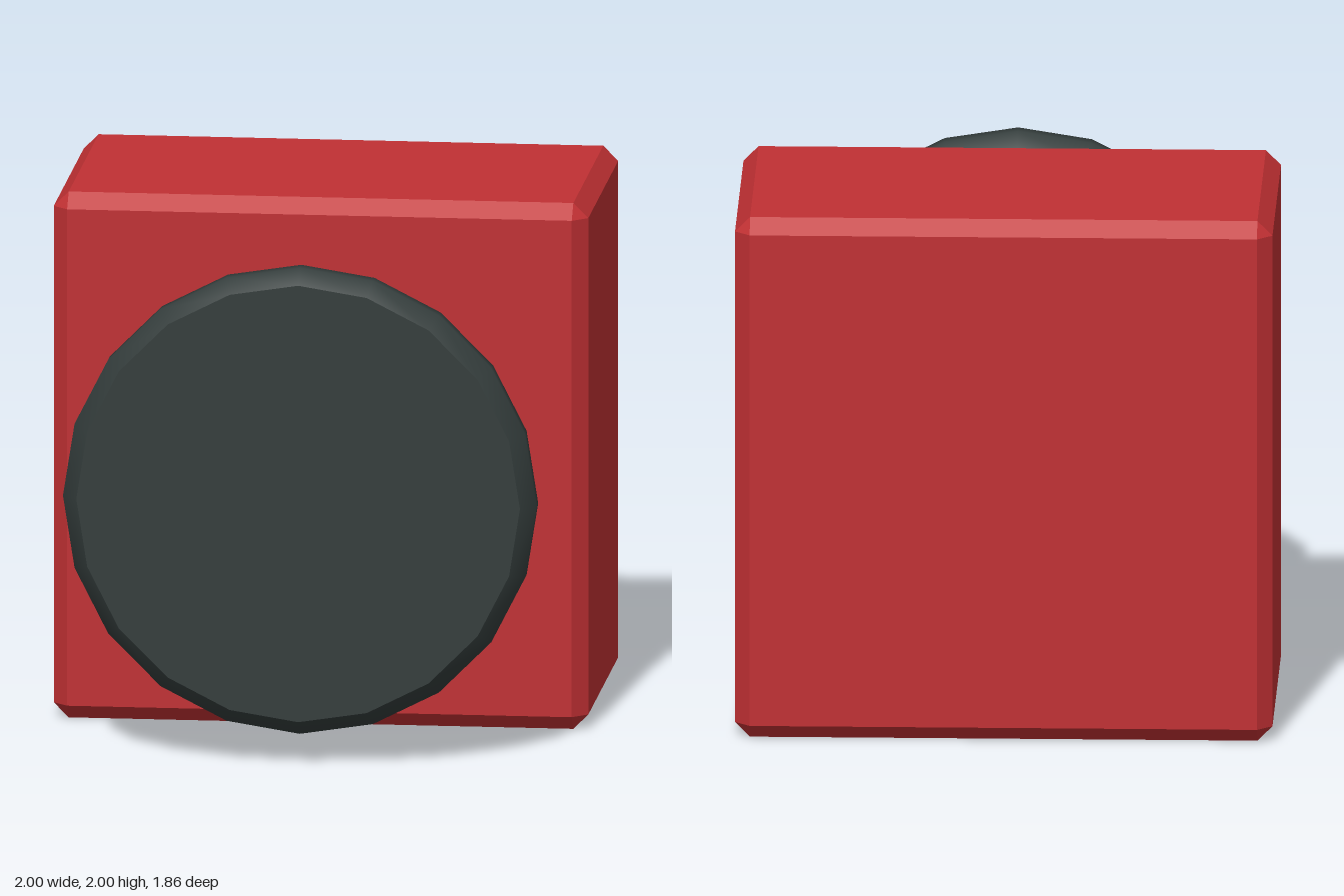
import * as THREE from 'three';
import { ConvexGeometry } from 'three/addons/geometries/ConvexGeometry.js';

const SIDES = 20;

// Box with flat chamfers on all edges and triangular corners
function chamferedBox(w, h, d, c) {
  const points = [];
  for (const x of [-1, 1]) for (const y of [-1, 1]) for (const z of [-1, 1]) {
    for (let face = 0; face < 3; face++) {
      const half = [w / 2, h / 2, d / 2].map((v, axis) => (axis === face ? v : v - c));
      points.push(new THREE.Vector3(x * half[0], y * half[1], z * half[2]));
    }
  }
  return new ConvexGeometry(points);
}

// Smooth surface turned around the z axis from [radius, z] pairs
function turned(profile) {
  const points = profile.map(([r, z]) => new THREE.Vector2(r, z));
  return new THREE.LatheGeometry(points, SIDES).rotateX(Math.PI / 2);
}

export function createModel() {
  const red = new THREE.MeshStandardMaterial({ color: 0xc03033 });
  red.name = 'red';
  const charcoal = new THREE.MeshStandardMaterial({ color: 0x333c3b });
  charcoal.name = 'charcoal';

  const model = new THREE.Group();
  model.name = 'pushButton';
  const add = (name, geometry, material, y, z, parent = model) => {
    const mesh = new THREE.Mesh(geometry, material);
    mesh.name = name;
    mesh.position.set(0, y, z);
    parent.add(mesh);
    return mesh;
  };

  // Housing block behind
  add('housing', chamferedBox(2, 2, 1.136, 0.056), red, 1, -0.364);

  // Round stem
  add('stem', turned([[0.713, 0.19], [0.713, 0.78]]), red, 1, 0);

  // Bevelled cap: smooth rim closed by two flat faces
  const cap = new THREE.Group();
  cap.name = 'cap';
  cap.position.y = 1;
  model.add(cap);
  const back = 0.764, front = 0.932, outer = 0.886, bevel = 0.056;
  add('capRim', turned([
    [outer - bevel, back], [outer, back + bevel],
    [outer, front - bevel], [outer - bevel, front],
  ]), charcoal, 0, 0, cap);
  const disc = new THREE.CircleGeometry(outer - bevel, SIDES);
  add('capFront', disc, charcoal, 0, front, cap);
  add('capBack', disc, charcoal, 0, back, cap).rotation.y = Math.PI;

  return model;
}
